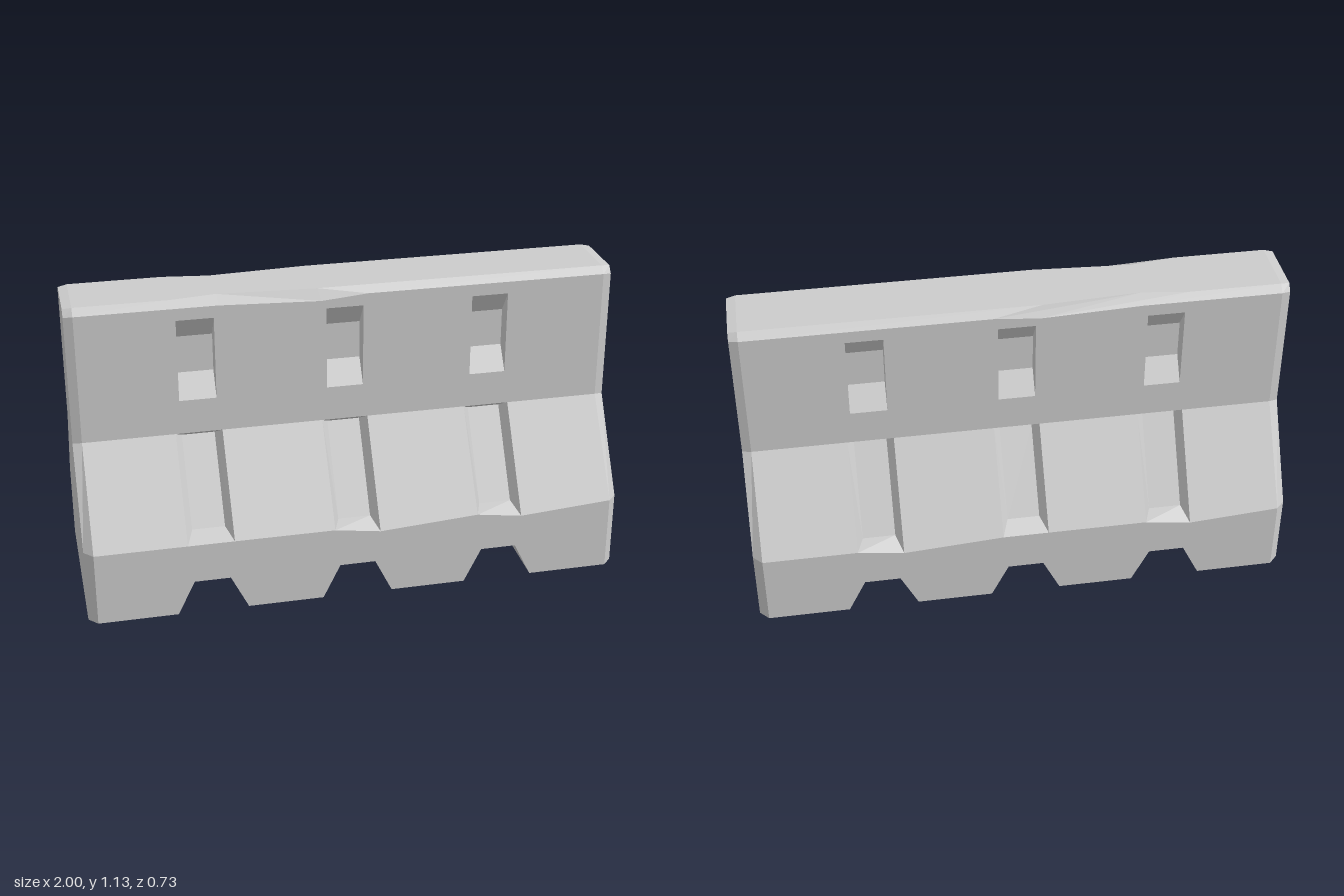
import * as THREE from 'three';

const material = new THREE.MeshStandardMaterial({ color: 0xcccccc, flatShading: true });

// Collects flat faces; corners run counter-clockwise seen from outside
class Faces {
  constructor() { this.data = []; }
  tri(a, b, c) { this.data.push(...a, ...b, ...c); }
  quad(a, b, c, d) { this.tri(a, b, c); this.tri(a, c, d); }
  // Sloping sides and floor of a pocket between its rim and its floor
  recess(rim, floor) {
    rim.forEach((p, i) => {
      const j = (i + 1) % 4;
      this.quad(p, rim[j], floor[j], floor[i]);
    });
    this.quad(...floor);
  }
  // Upright panel with optional holes at depth z
  panel(outline, holes, z) {
    const toV = ([x, y]) => new THREE.Vector2(x, y);
    const shape = new THREE.Shape(outline.map(toV));
    holes.forEach(h => shape.holes.push(new THREE.Path(h.map(toV))));
    const g = new THREE.ShapeGeometry(shape).toNonIndexed();
    const p = g.attributes.position;
    for (let i = 0; i < p.count; i++) this.data.push(p.getX(i), p.getY(i), z);
  }
  mesh(name) {
    const g = new THREE.BufferGeometry();
    g.setAttribute('position', new THREE.Float32BufferAttribute(this.data, 3));
    g.computeVertexNormals();
    const m = new THREE.Mesh(g, material);
    m.name = name;
    return m;
  }
}

const EDGE = 0.967;
// Half cross-sections [z, y]: body, and the smaller end face
const BODY = [[0.365, 0], [0.365, 0.28], [0.14, 0.62], [0.14, 1.105], [0.115, 1.13]];
const END = [[0.33, 0], [0.33, 0.28], [0.127, 0.615], [0.127, 1.1], [0.107, 1.125]];

// One long half of the barrier, facing +z.
// pockets: [centre x, chipped corner?]; rimLow: [x, y]; rimHigh: [x, z]
function createHalf(name, pockets, rimLow, rimHigh) {
  const half = new THREE.Group();
  half.name = name;
  const skirt = new Faces(), slope = new Faces(), wall = new Faces();
  const lower = new Faces(), upper = new Faces(), cap = new Faces();
  const ends = new Faces(), base = new Faces();

  // Ground line with the trapezoid drainage notches, and the crease above it
  const ground = [[-EDGE, 0]], crease = [[-EDGE, 0.28]], holes = [];
  for (const [c, chipped] of pockets) {
    ground.push([c - 0.13, 0], [c - 0.066, 0.13], [c + 0.066, 0.13], [c + 0.13, 0]);
    const l = c - 0.085, r = c + 0.085, yr = chipped ? 0.255 : 0.28;

    // Slope left of this pocket
    const [pl, py] = crease[crease.length - 1];
    slope.quad([pl, py, 0.365], [l, 0.28, 0.365], [l, 0.62, 0.14], [pl, 0.62, 0.14]);
    crease.push([l, 0.28], [r, yr]);

    // Pocket in the slope
    const yi = chipped ? 0.29 : 0.31, il = l + 0.025, ir = r - 0.025;
    lower.recess(
      [[l, 0.28, 0.365], [r, yr, 0.365], [r, 0.62, 0.14], [l, 0.62, 0.14]],
      [[il, yi, 0.3], [ir, yi, 0.3], [ir, 0.6, 0.11], [il, 0.6, 0.11]]);

    // Pocket in the upright wall
    const a = c - 0.0675, b = c + 0.0675;
    const rect = (y0, y1) => [[a, y0], [b, y0], [b, y1], [a, y1]];
    holes.push(rect(0.75, 1.06));
    upper.recess(rect(0.75, 1.06).map(p => [...p, 0.14]), rect(0.835, 0.975).map(p => [...p, 0.08]));
  }
  const [pl, py] = crease[crease.length - 1];
  slope.quad([pl, py, 0.365], [EDGE, 0.28, 0.365], [EDGE, 0.62, 0.14], [pl, 0.62, 0.14]);
  ground.push([EDGE, 0]);
  crease.push([EDGE, 0.28]);

  skirt.panel([...ground, ...crease.slice().reverse()], [], 0.365);
  wall.panel([[-EDGE, 0.62], [EDGE, 0.62], ...rimLow.slice().reverse()], holes, 0.14);

  // Worn top chamfer and half of the top
  for (let i = 0; i < rimLow.length - 1; i++) {
    const [a, b] = [rimLow[i], rimLow[i + 1]].map(([x, y]) => [x, y, 0.14]);
    const [c, d] = [rimHigh[i], rimHigh[i + 1]].map(([x, z]) => [x, 1.13, z]);
    cap.quad(a, b, d, c);
    cap.quad(c, d, [d[0], 1.13, 0], [c[0], 1.13, 0]);
  }

  // Underside
  for (let i = 0; i < ground.length - 1; i++) {
    const [x0, y0] = ground[i], [x1, y1] = ground[i + 1];
    base.quad([x0, y0, 0], [x1, y1, 0], [x1, y1, 0.365], [x0, y0, 0.365]);
  }

  // Chamfered ends
  for (const e of [-1, 1]) {
    const add = (f, ...p) => f.quad(...(e > 0 ? p : p.reverse()));
    const outer = BODY.map(([z, y]) => [e * EDGE, y, z]);
    const inner = END.map(([z, y]) => [e, y, z]);
    const mid = END.map(([, y]) => [e, y, 0]);
    if (e < 0) outer[4][2] = rimHigh[0][1];
    else outer[4][2] = rimHigh[rimHigh.length - 1][1];
    for (let i = 0; i < 4; i++) {
      add(ends, outer[i], inner[i], inner[i + 1], outer[i + 1]);
      add(ends, inner[i], mid[i], mid[i + 1], inner[i + 1]);
    }
    add(cap, outer[4], inner[4], mid[4], [e * EDGE, 1.13, 0]);
    add(base, [e * EDGE, 0, 0], mid[0], inner[0], outer[0]);
  }

  half.add(skirt.mesh('skirt'), slope.mesh('slope'), wall.mesh('upperWall'),
    lower.mesh('slopePockets'), upper.mesh('wallPockets'), cap.mesh('topCap'),
    ends.mesh('ends'), base.mesh('underside'));
  return half;
}

export function createModel() {
  const group = new THREE.Group();
  group.name = 'roadBarrier';

  // Worn top edges, in barrier coordinates
  const low = [[-EDGE, 1.105], [-0.46, 1.105], [-0.09, 1.09], [0.08, 1.105], [EDGE, 1.105]];
  const high = [[-EDGE, 0.115], [-0.63, 0.115], [-0.46, 0.092], [-0.1, 0.115], [EDGE, 0.115]];
  const turned = line => line.map(([x, v]) => [-x, v]).reverse();

  const front = createHalf('frontHalf',
    [[-0.545, false], [-0.005, true], [0.535, true]], low, high);
  const back = createHalf('backHalf',
    [[-0.535, true], [0.005, false], [0.545, true]], turned(low), turned(high));
  back.rotation.y = Math.PI;

  group.add(front, back);
  return group;
}
